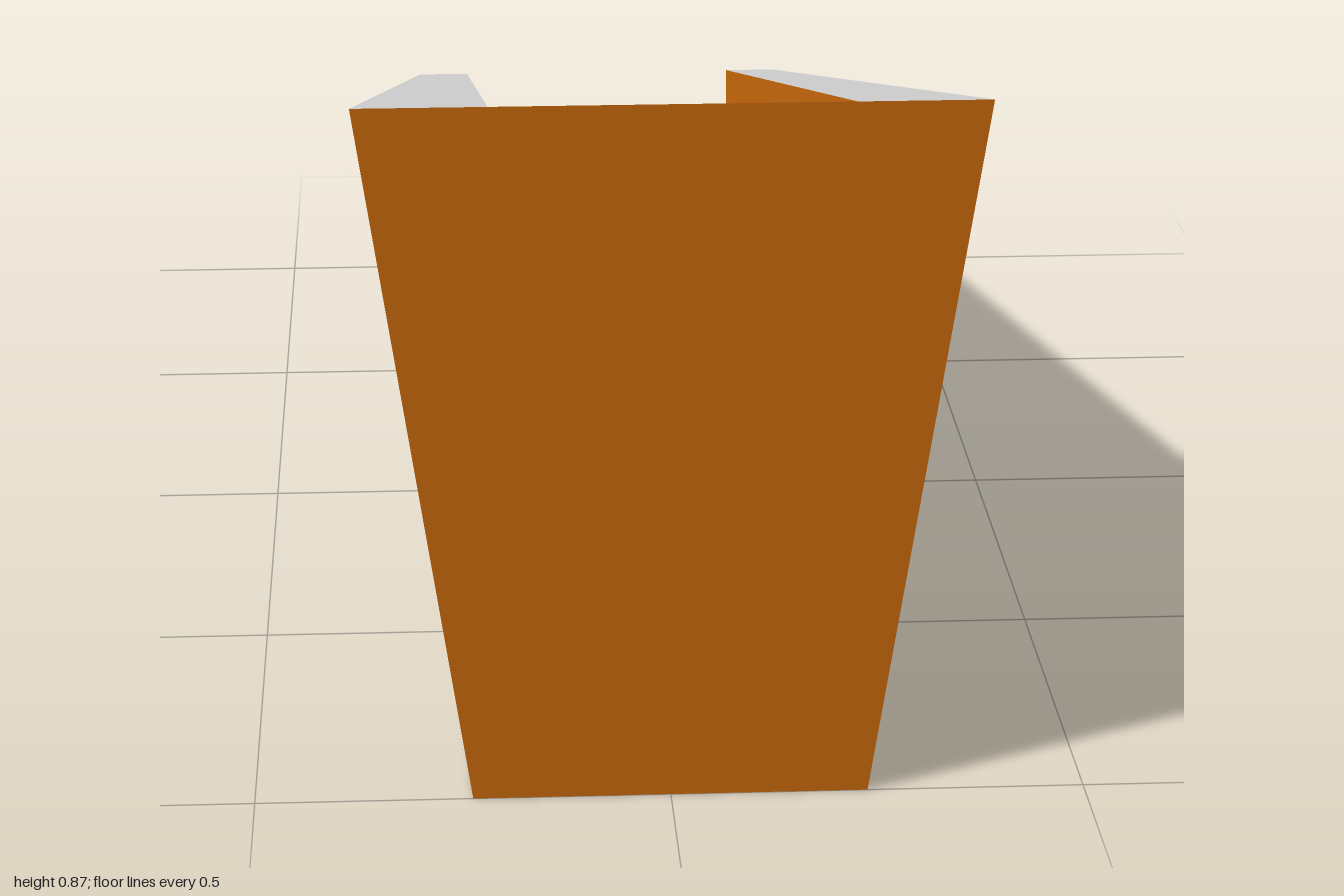
import * as THREE from 'three';

// Main dimensions
const FRONT_Y = 0.867, BACK_Y = 0.33, FLOOR_Y = 0.087; // rim heights and low end of the ramp
const BASE_X = 0.238, CHANNEL_X = 0.212, END_Z = 1;
const sideX = (y) => BASE_X + y * 0.152; // the outer walls lean outwards

const paint = (name, color) => {
  const m = new THREE.MeshStandardMaterial({ color, side: THREE.DoubleSide });
  m.name = name;
  return m;
};

// Flat panel from corners listed counter-clockwise as seen from outside
function panel(name, corners, material) {
  const geo = new THREE.BufferGeometry();
  geo.setAttribute('position', new THREE.Float32BufferAttribute(corners.flat(), 3));
  const index = [];
  for (let i = 1; i < corners.length - 1; i++) index.push(0, i, i + 1);
  geo.setIndex(index);
  geo.computeVertexNormals();
  const mesh = new THREE.Mesh(geo, material);
  mesh.name = name;
  return mesh;
}

// Upright end panel from an outline in x and y
function endPanel(name, outline, z, material) {
  const shape = new THREE.Shape(outline.map(([x, y]) => new THREE.Vector2(x, y)));
  const mesh = new THREE.Mesh(new THREE.ShapeGeometry(shape), material);
  mesh.name = name;
  mesh.position.z = z;
  if (z < 0) mesh.rotation.y = Math.PI;
  return mesh;
}

export function createModel() {
  const orange = paint('orange shell', 0xcc6b0a);
  const lightGrey = paint('light grey rim', 0xd8d8d8);
  const grey = paint('grey ramp', 0x8c8c8c);

  const group = new THREE.Group();
  group.name = 'slopedChute';

  const fx = sideX(FRONT_Y), bx = sideX(BACK_Y);

  // Tall closed front and low U-shaped back; the underside stays open
  group.add(endPanel('frontWall',
    [[-BASE_X, 0], [BASE_X, 0], [fx, FRONT_Y], [-fx, FRONT_Y]], END_Z, orange));
  group.add(endPanel('backWall', [
    [-BASE_X, 0], [BASE_X, 0], [bx, BACK_Y], [CHANNEL_X, BACK_Y],
    [CHANNEL_X, FLOOR_Y], [-CHANNEL_X, FLOOR_Y], [-CHANNEL_X, BACK_Y], [-bx, BACK_Y],
  ], -END_Z, orange));

  // Ramp floor, level with the rim at the front
  group.add(panel('rampFloor', [
    [-CHANNEL_X, FRONT_Y, END_Z], [CHANNEL_X, FRONT_Y, END_Z],
    [CHANNEL_X, FLOOR_Y, -END_Z], [-CHANNEL_X, FLOOR_Y, -END_Z],
  ], grey));

  // Outer wall, rim and channel wall, mirrored left and right
  for (const [side, s] of [['left', 1], ['right', -1]]) {
    const add = (part, corners, material) => {
      const c = corners.map(([x, y, z]) => [x * s, y, z]);
      group.add(panel(side + part, s > 0 ? c : c.reverse(), material));
    };
    add('OuterWall', [
      [BASE_X, 0, END_Z], [BASE_X, 0, -END_Z], [bx, BACK_Y, -END_Z], [fx, FRONT_Y, END_Z],
    ], orange);
    add('Rim', [
      [CHANNEL_X, FRONT_Y, END_Z], [fx, FRONT_Y, END_Z],
      [bx, BACK_Y, -END_Z], [CHANNEL_X, BACK_Y, -END_Z],
    ], lightGrey);
    add('ChannelWall', [
      [CHANNEL_X, FLOOR_Y, -END_Z], [CHANNEL_X, FRONT_Y, END_Z], [CHANNEL_X, BACK_Y, -END_Z],
    ], orange);
  }
  return group;
}
